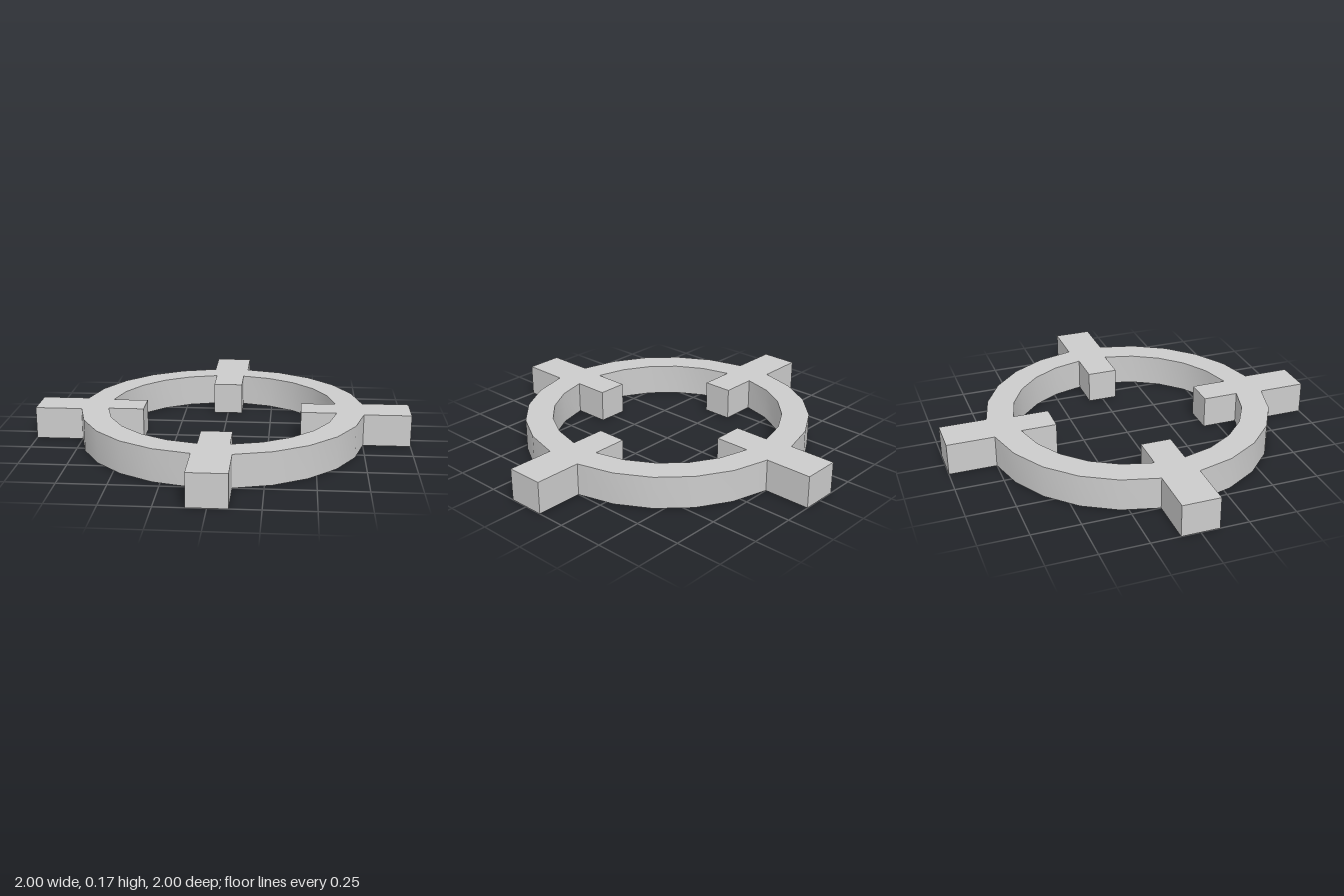
import * as THREE from 'three';
import { toCreasedNormals } from 'three/addons/utils/BufferGeometryUtils.js';

const HEIGHT = 0.17;
const STEP = Math.PI / 12; // 24-sided ring

// Closed ring outline with a square tab reaching to tabEnd on each axis
function tabbedOutline(radius, tabEnd) {
  const points = [];
  const halfWidth = radius * Math.sin(STEP / 2);
  for (let q = 0; q < 4; q++) {
    const turn = q * Math.PI / 2;
    for (const side of [-halfWidth, halfWidth]) {
      points.push(new THREE.Vector2(tabEnd, side).rotateAround(new THREE.Vector2(), turn));
    }
    for (let k = 0; k < 6; k++) {
      const a = turn + (k + 0.5) * STEP;
      points.push(new THREE.Vector2(radius * Math.cos(a), radius * Math.sin(a)));
    }
  }
  return points;
}

export function createModel() {
  const group = new THREE.Group();
  group.name = 'crosshairRing';

  // Outer tabs belong to the outline, inner tabs to the hole
  const shape = new THREE.Shape(tabbedOutline(0.757, 1));
  shape.holes.push(new THREE.Path(tabbedOutline(0.613, 0.42)));

  let geometry = new THREE.ExtrudeGeometry(shape, { depth: HEIGHT, bevelEnabled: false });
  geometry.rotateX(-Math.PI / 2);
  // Smooth curved walls, sharp tab corners and rims
  geometry = toCreasedNormals(geometry, 0.5);

  const ring = new THREE.Mesh(geometry, new THREE.MeshStandardMaterial({ color: 0xcccccc }));
  ring.name = 'tabbedRing';
  group.add(ring);
  return group;
}
